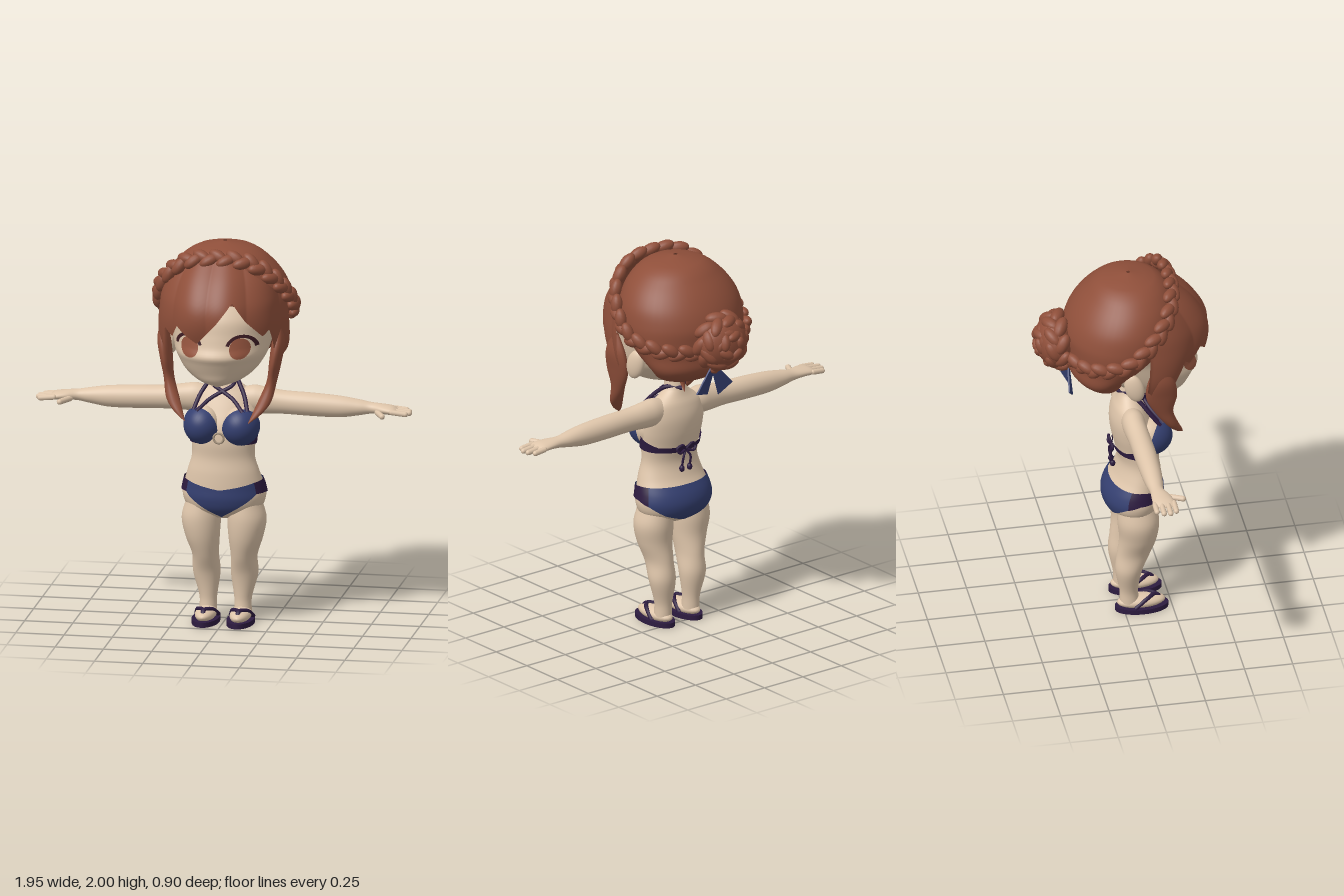
import * as THREE from 'three';
import { mergeGeometries, mergeVertices } from 'three/addons/utils/BufferGeometryUtils.js';

const mat = (name, color, side = THREE.DoubleSide) => {
  const m = new THREE.MeshStandardMaterial({ color, side });
  m.name = name;
  return m;
};
const V = (x, y, z) => new THREE.Vector3(x, y, z);

// Interpolates rows keyed by their first value
function at(rows, k, smooth = true) {
  const n = rows.length - 1;
  if (k <= rows[0][0]) return rows[0];
  if (k >= rows[n][0]) return rows[n];
  let i = 0;
  while (rows[i + 1][0] < k) i++;
  const a = rows[i], b = rows[i + 1], h = b[0] - a[0], t = (k - a[0]) / h;
  const p = rows[Math.max(i - 1, 0)], q = rows[Math.min(i + 2, n)];
  return a.map((v, c) => {
    if (!smooth || c === 0) return v + (b[c] - v) * t;
    const m0 = (b[c] - p[c]) / (b[0] - p[0]) * h, m1 = (q[c] - v) / (q[0] - a[0]) * h;
    const t2 = t * t, t3 = t2 * t;
    return (2 * t3 - 3 * t2 + 1) * v + (t3 - 2 * t2 + t) * m0 + (3 * t2 - 2 * t3) * b[c] + (t3 - t2) * m1;
  });
}

// Surface from f(u, v); its front faces du x dv
function grid(nu, nv, f) {
  const pos = [], idx = [];
  for (let i = 0; i <= nu; i++) for (let j = 0; j <= nv; j++) pos.push(...f(i / nu, j / nv));
  for (let i = 0; i < nu; i++) for (let j = 0; j < nv; j++) {
    const a = i * (nv + 1) + j, b = a + nv + 1;
    idx.push(a, b, a + 1, b, b + 1, a + 1);
  }
  let g = new THREE.BufferGeometry();
  g.setAttribute('position', new THREE.Float32BufferAttribute(pos, 3));
  g.setIndex(idx);
  g = mergeVertices(g);
  g.computeVertexNormals();
  return g;
}

// Elliptical cross-sections: [key, centre, centre, radius, radius] along y or x
const loft = (rows, axis = 'y', n = 32) => {
  const k0 = rows[0][0], k1 = rows[rows.length - 1][0];
  return grid(rows.length * 5, n, (u, v) => {
    const [k, c, d, r, s] = at(rows, k0 + (k1 - k0) * u), a = v * Math.PI * 2;
    const R = Math.max(r, 0.002), S = Math.max(s, 0.002);
    return axis === 'y' ? [c + R * Math.cos(a), k, d + S * Math.sin(a)]
      : [k, c + R * Math.sin(a), d + S * Math.cos(a)];
  });
};

// Thin cover over a loft, between two edges given by angle from the front
const patch = (rows, a0, a1, bottom, top, off, nv = 48) => grid(14, nv, (u, v) => {
  const deg = a1 + (a0 - a1) * v, f = Math.abs(deg), p = deg * Math.PI / 180;
  const lo = at(bottom, bottom[0][0] < 0 ? deg : f, false)[1], hi = at(top, f, false)[1];
  const [y, cx, cz, rx, rz] = at(rows, lo + (hi - lo) * u);
  const o = typeof off === 'function' ? off(p) : off;
  return [cx + (rx + o) * Math.sin(p), y, cz + (rz + o) * Math.cos(p)];
});

const ball = (x, y, z, rx, ry, rz) => new THREE.SphereGeometry(1, 24, 16).scale(rx, ry, rz).translate(x, y, z);
const tube = (pts, r) => new THREE.TubeGeometry(new THREE.CatmullRomCurve3(pts.map(p => V(...p))), 24, r, 8);
function mirror(g) {
  const m = g.clone().scale(-1, 1, 1), ix = m.index.array;
  for (let i = 0; i < ix.length; i += 3) [ix[i], ix[i + 1]] = [ix[i + 1], ix[i]];
  return m;
}

// Overlapping lumps alternating from side to side along a closed curve
function braid(pts, count, r, spread, center) {
  const curve = new THREE.CatmullRomCurve3(pts.map(p => V(...p)), true), lumps = [];
  for (let i = 0; i < count; i++) {
    const p = curve.getPointAt(i / count), t = curve.getTangentAt(i / count);
    const out = p.clone().sub(center).normalize(), side = t.clone().cross(out).normalize();
    const s = i % 2 ? 1 : -1;
    const dir = t.clone().addScaledVector(side, -s * 0.6).normalize();
    const g = new THREE.SphereGeometry(1, 14, 10).scale(r * 0.8, r * 1.4, r * 0.8);
    g.applyQuaternion(new THREE.Quaternion().setFromUnitVectors(V(0, 1, 0), dir));
    p.addScaledVector(side, s * spread);
    lumps.push(g.translate(p.x, p.y, p.z));
  }
  return mergeGeometries(lumps);
}

export function createModel() {
  const model = new THREE.Group();
  const skin = mat('skin', 0xdec5aa), hair = mat('hair', 0x8f4f3a), blue = mat('blue cloth', 0x343f70);
  const dark = mat('dark trim', 0x2d1b40), iris = mat('iris', 0x96553f), lash = mat('lash', 0x3d1c24);
  const metal = mat('ring', 0xa8957f);
  const add = (name, g, m) => {
    const mesh = new THREE.Mesh(g, m);
    mesh.name = name;
    model.add(mesh);
  };
  const pair = (name, g, m) => { add(name + 'Left', g, m); add(name + 'Right', mirror(g), m); };

  // Body
  const torso = [[.555, 0, .06, .08, .06], [.6, 0, .06, .18, .125], [.66, 0, .06, .213, .15], [.72, 0, .065, .208, .145],
    [.8, 0, .085, .185, .12], [.88, 0, .09, .162, .105], [.96, 0, .085, .165, .115], [1.05, 0, .07, .175, .12],
    [1.13, 0, .05, .172, .105], [1.2, 0, .04, .15, .08], [1.24, 0, .04, .095, .062], [1.28, 0, .045, .055, .055], [1.38, 0, .06, .05, .055]];
  add('torso', loft(torso, 'y', 48), skin);
  pair('leg', loft([[.05, .09, .03, .045, .05], [.12, .09, .026, .045, .048], [.25, .098, .025, .07, .07], [.35, .1, .05, .068, .086],
    [.45, .112, .07, .088, .097], [.55, .118, .07, .1, .107], [.64, .11, .065, .085, .1]]), skin);
  pair('arm', loft([[.06, 1.16, .04, .06, .05], [.15, 1.168, .04, .073, .06], [.2, 1.165, .04, .07, .058], [.3, 1.16, .045, .061, .056],
    [.45, 1.155, .047, .06, .057], [.6, 1.15, .047, .055, .052], [.7, 1.15, .045, .04, .043], [.76, 1.15, .045, .029, .036],
    [.82, 1.15, .055, .025, .05], [.88, 1.146, .06, .02, .056], [.905, 1.144, .06, .004, .045]], 'x'), skin);
  [.012, .045, .078, .11].forEach((z, i) => {
    const len = [.06, .08, .085, .07][i];
    pair('finger' + i, new THREE.CapsuleGeometry(.014, len, 4, 10).rotateZ(Math.PI / 2 - .1).translate(.875 + len / 2, 1.143, z), skin);
  });
  pair('thumb', new THREE.CapsuleGeometry(.015, .09, 4, 10).rotateX(Math.PI / 2).rotateY(.45).translate(.815, 1.137, .125), skin);
  pair('bust', ball(.095, 1.05, .135, .092, .098, .105), skin);

  // Feet and sandals
  pair('foot', ball(.09, .045, .09, .054, .036, .125), skin);
  const sole = new THREE.CylinderGeometry(1, 1, .026, 32).scale(.07, 1, .138).translate(.09, .013, .093);
  pair('sole', sole, dark);
  for (const s of [-1, 1])
    pair('sandalStrap' + (s > 0 ? 'Outer' : 'Inner'),
      tube([[.09, .045, .195], [.09, .075, .165], [.09 + s * .035, .073, .12], [.09 + s * .058, .03, .05]], .011), dark);

  // Swimwear bottom
  const low = [[0, .56], [15, .6], [55, .695], [90, .695], [115, .67], [140, .62], [180, .565]];
  const high = [[0, .722], [55, .755], [90, .765], [180, .77]];
  add('bottomFront', patch(torso, -55, 55, low, high, .008), blue);
  pair('bottomSide', patch(torso, 55, 112, low, high, .008), dark);
  pair('bottomBack', patch(torso, 112, 180, low, high, .008), blue);

  // Swimwear top
  const cup = new THREE.SphereGeometry(1, 32, 16, 0, Math.PI * 2, 0, 1.38)
    .applyQuaternion(new THREE.Quaternion().setFromUnitVectors(V(0, 1, 0), V(.4, -.25, 1).normalize()))
    .scale(.1, .104, .113).translate(.097, 1.05, .137);
  pair('cup', cup, blue);
  pair('band', patch(torso, 45, 180, [[45, .955], [180, .94]], [[45, 1.07], [90, 1.01], [130, .975], [180, .97]], .008), dark);
  add('centerRing', new THREE.TorusGeometry(.026, .006, 8, 28).translate(0, 1.0, .228), metal);
  pair('outerStrap', tube([[.14, 1.13, .18], [.115, 1.2, .125], [.085, 1.25, .085], [.055, 1.285, .04], [0, 1.28, -.015]], .011), dark);
  pair('crossStrap', tube([[.12, 1.13, .2], [.06, 1.185, .145], [0, 1.22, .118], [-.05, 1.25, .1], [-.06, 1.28, .06]], .01), dark);
  pair('backBowLoop', tube([[0, .955, -.045], [.03, .985, -.055], [.06, .97, -.05], [.045, .945, -.055], [0, .955, -.045]], .007), dark);
  pair('backCord', tube([[0, .955, -.045], [.022, .92, -.055], [.025, .86, -.045]], .006), dark);
  pair('cordBead', ball(.025, .855, -.045, .014, .018, .014), dark);

  // Face
  const face = [[1.283, 0, .22, .025, .06], [1.31, 0, .19, .11, .135], [1.36, 0, .16, .18, .19], [1.42, 0, .13, .222, .25],
    [1.455, 0, .12, .238, .277], [1.5, 0, .1, .25, .277], [1.56, 0, .08, .262, .283], [1.65, 0, .06, .28, .28], [1.8, 0, .04, .2, .2]];
  add('head', loft(face, 'y', 48), skin);
  pair('ear', ball(0, 0, 0, .028, .08, .05).rotateX(-.25).rotateY(.3).translate(.275, 1.465, .02), skin);
  const onFace = (g, lift) => {
    const p = g.attributes.position;
    for (let i = 0; i < p.count; i++) {
      const [, , cz, rx, rz] = at(face, p.getY(i));
      p.setZ(i, cz + rz * Math.sqrt(Math.max(0, 1 - (p.getX(i) / rx) ** 2)) + lift);
    }
    g.computeVertexNormals();
    return g;
  };
  pair('iris', onFace(new THREE.RingGeometry(.01, 1, 28, 6).scale(.05, .053, 1).translate(.13, 1.505, 0), .005), iris);
  pair('upperLash', onFace(new THREE.RingGeometry(.82, 1.05, 24, 3, .1, 2.75).scale(.075, .07, 1).translate(.137, 1.502, 0), .007), lash);

  // Hair over the skull
  add('backHair', loft([[1.355, 0, -.08, .08, .04], [1.4, 0, -.1, .2, .11], [1.46, 0, -.12, .262, .15], [1.54, 0, -.07, .3, .21],
    [1.62, 0, -.03, .325, .262], [1.7, 0, 0, .333, .295], [1.8, 0, .015, .31, .272], [1.9, 0, .035, .238, .215],
    [1.97, 0, .04, .135, .13], [1.995, 0, .04, .01, .01]], 'y', 48), hair);

  // Fringe with pointed tips, and side locks
  const fringe = [[1.4, 0, 0, .31, .36], [1.5, 0, 0, .337, .4], [1.6, 0, 0, .338, .437], [1.68, 0, 0, .33, .443],
    [1.75, 0, 0, .32, .42], [1.85, 0, 0, .285, .35], [1.95, 0, 0, .22, .25]];
  const tips = [[-78, 1.46], [-68, 1.39], [-57, 1.43], [-50, 1.59], [-41, 1.55], [-33, 1.62], [-13, 1.54], [4, 1.65], [18, 1.76],
    [30, 1.66], [44, 1.57], [51, 1.6], [58, 1.43], [68, 1.39], [78, 1.46]];
  const roots = [[0, 1.95], [25, 1.93], [50, 1.84], [78, 1.72]];
  add('fringe', patch(fringe, -78, 78, tips, roots, p => .014 * Math.abs(Math.sin(p * 5 + .4)), 160), hair);
  pair('sideLock', loft([[1.1, .165, .29, .002, .002], [1.14, .2, .262, .022, .02], [1.2, .236, .225, .034, .032], [1.3, .266, .175, .026, .048],
    [1.4, .282, .16, .03, .08], [1.5, .296, .155, .032, .07], [1.6, .3, .15, .01, .02]], 'y', 20), hair);
  add('napeWisp', loft([[1.28, .02, -.06, .002, .002], [1.32, .012, -.035, .014, .012], [1.38, 0, -.05, .03, .025]], 'y', 12), hair);

  // Braided crown
  const half = [[.16, 1.93, .235], [.28, 1.84, .18], [.34, 1.73, .08], [.345, 1.64, -.03], [.27, 1.595, -.19], [.12, 1.58, -.28]];
  const ring = [[0, 1.95, .25], ...half, [0, 1.58, -.3], ...half.map(([x, y, z]) => [-x, y, z]).reverse()];
  add('crownBraid', braid(ring, 52, .038, .014, V(0, 1.72, 0)), hair);

  // Braided bun
  const coil = (r, z, n) => Array.from({ length: n }, (_, i) => {
    const a = i / n * Math.PI * 2;
    return [r * Math.cos(a), 1.63 + r * Math.sin(a), z];
  });
  add('bunCore', ball(0, 1.63, -.345, .145, .135, .095), hair);
  add('bunOuterCoil', braid(coil(.12, -.345, 12), 18, .042, .024, V(0, 1.63, -.3)), hair);
  add('bunInnerCoil', braid(coil(.06, -.41, 10), 10, .035, .012, V(0, 1.63, -.36)), hair);

  // Ribbon under the bun
  add('ribbonKnot', ball(0, 1.465, -.28, .026, .026, .022), hair);
  const tail = new THREE.Shape([[-.018, 0], [.018, 0], [.048, -.15], [-.048, -.13]].map(p => new THREE.Vector2(...p)));
  for (const s of [-1, 1])
    add(s > 0 ? 'ribbonTailLeft' : 'ribbonTailRight', new THREE.ExtrudeGeometry(tail, { depth: .008, bevelEnabled: false })
      .scale(1, 1, 1).rotateY(s * .3).rotateZ(s * .5).translate(s * .008, 1.462, -.275), blue);
  return model;
}
